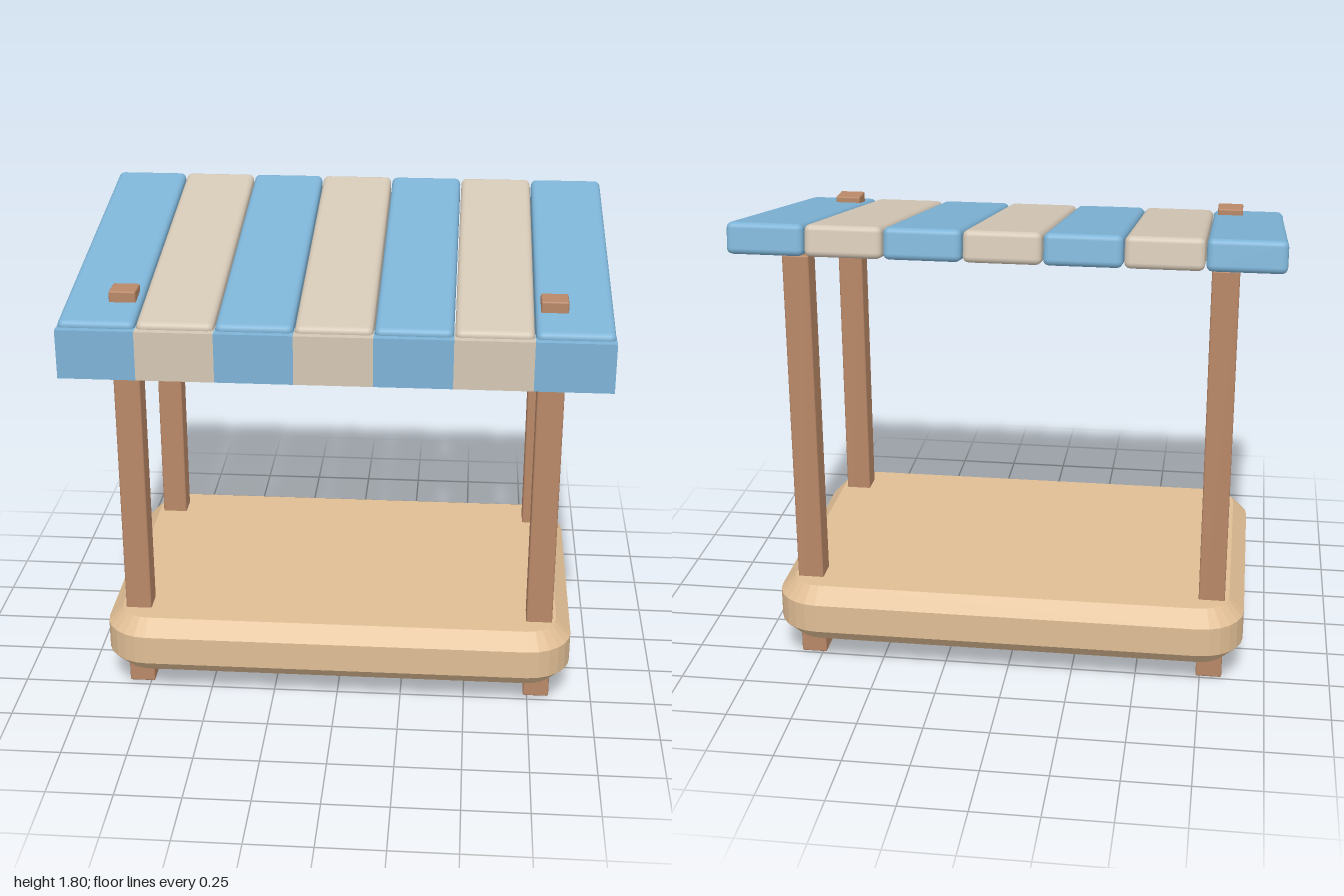
import * as THREE from 'three';
import { RoundedBoxGeometry } from 'three/addons/geometries/RoundedBoxGeometry.js';

const material = (name, color) => {
  const m = new THREE.MeshStandardMaterial({ color });
  m.name = name;
  return m;
};

export function createModel() {
  const blue = material('blue paint', 0x7db3d6);
  const cream = material('cream paint', 0xd4c7b5);
  const paleWood = material('pale wood', 0xdfbd94);
  const brownWood = material('brown wood', 0xb98868);

  const model = new THREE.Group();
  model.name = 'marketStall';
  const add = (parent, name, geometry, mat, x, y, z) => {
    const mesh = new THREE.Mesh(geometry, mat);
    mesh.name = name;
    mesh.position.set(x, y, z);
    parent.add(mesh);
    return mesh;
  };

  // Platform: rounded rectangle with a wide chamfer above and below
  const w = 0.91, d = 0.617, r = 0.17, bevel = 0.058;
  const outline = new THREE.Shape();
  outline.moveTo(w, -d + r);
  outline.absarc(w - r, d - r, r, 0, Math.PI / 2);
  outline.absarc(-w + r, d - r, r, Math.PI / 2, Math.PI);
  outline.absarc(-w + r, -d + r, r, Math.PI, Math.PI * 1.5);
  outline.absarc(w - r, -d + r, r, Math.PI * 1.5, Math.PI * 2);
  const slab = new THREE.ExtrudeGeometry(outline, {
    depth: 0.114, curveSegments: 3, bevelSegments: 1,
    bevelThickness: bevel, bevelSize: bevel, bevelOffset: -bevel,
  });
  slab.rotateX(-Math.PI / 2);
  add(model, 'platform', slab, paleWood, 0, 0.105 + bevel, -0.007);

  // Four posts
  const post = new RoundedBoxGeometry(0.1, 1.645, 0.1, 1, 0.006);
  for (const x of [-0.785, 0.785]) {
    add(model, 'frontPost', post, brownWood, x, 0.8225, 0.424);
    add(model, 'backPost', post, brownWood, x, 0.8225, -0.441);
  }

  // Sloping roof planks and the valance along the front, in alternating colours
  const count = 7, pitch = 2 / count;
  const roof = new THREE.Group();
  roof.name = 'roof';
  roof.position.set(0, 1.632, -0.01);
  roof.rotation.x = THREE.MathUtils.degToRad(10.2);
  model.add(roof);
  const valance = new THREE.Group();
  valance.name = 'valance';
  model.add(valance);
  const plank = new RoundedBoxGeometry(0.281, 0.116, 1.27, 2, 0.022);
  const panel = new THREE.BoxGeometry(pitch, 0.185, 0.084);
  for (let i = 0; i < count; i++) {
    const x = (i - (count - 1) / 2) * pitch;
    const paint = i % 2 ? cream : blue;
    add(roof, 'roofPlank', plank, paint, x, 0, 0);
    add(valance, 'valancePanel', panel, paint, x, 1.4625, 0.608);
  }
  return model;
}
